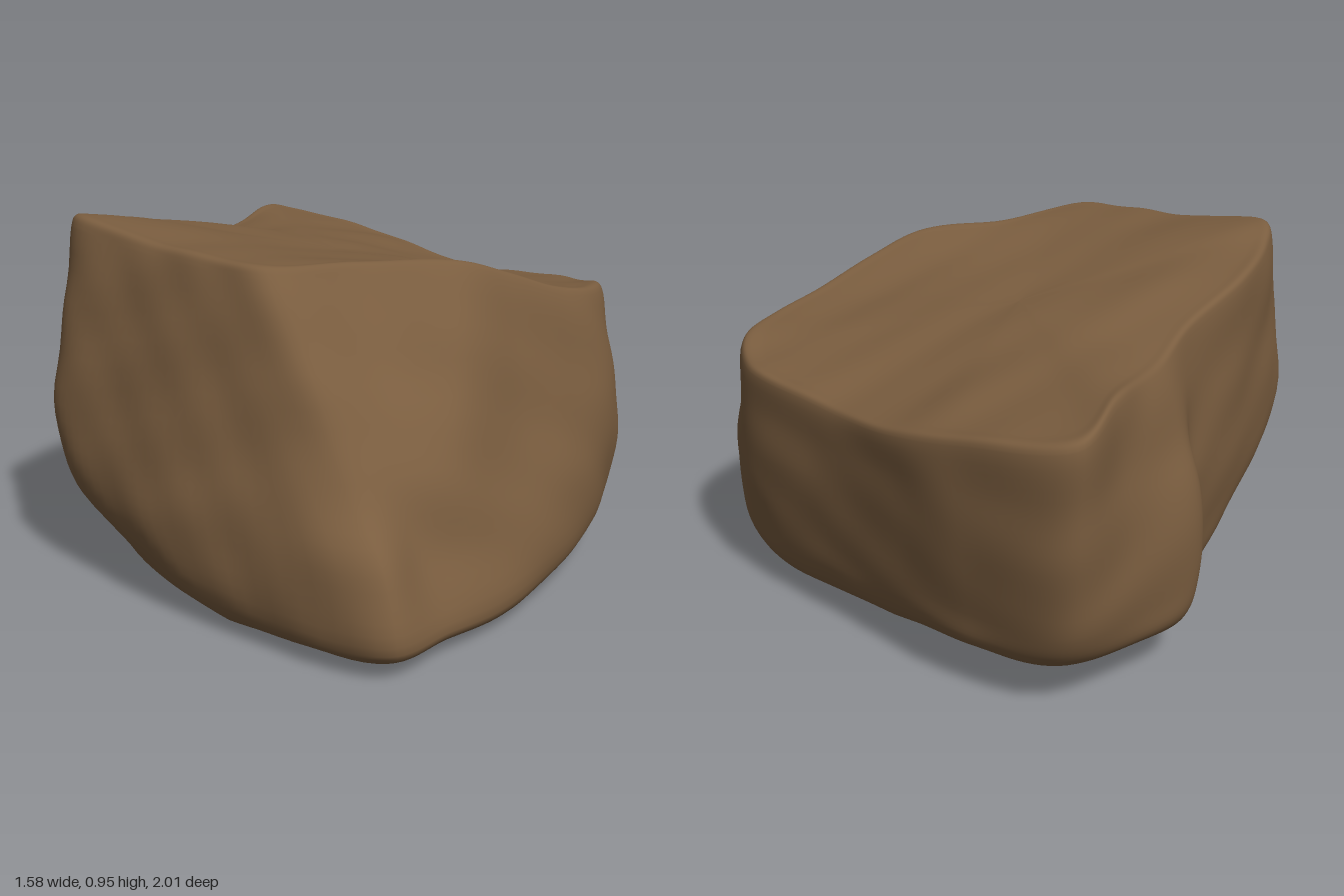
import * as THREE from 'three';

// Outline rings, ordered from the front corner round by the left (+x) side.
// Top rim as x, z, y; the lower rings as x, z.
const TOP = [
  -0.25, 0.6, 0.9, 0, 0.47, 0.88, 0.26, 0.42, 0.87, 0.4, 0.34, 0.82, 0.55, 0.23, 0.755,
  0.67, 0.12, 0.725, 0.74, -0.03, 0.71, 0.72, -0.2, 0.685, 0.52, -0.44, 0.665, 0.36, -0.66, 0.68,
  0.22, -0.82, 0.725, -0.06, -1, 0.775, -0.17, -0.83, 0.81, -0.31, -0.57, 0.79, -0.41, -0.4, 0.83,
  -0.59, -0.2, 0.89, -0.7, 0.01, 0.925, -0.72, 0.13, 0.95, -0.56, 0.32, 0.925, -0.4, 0.48, 0.905,
];
const MID = [
  -0.09, 0.83, 0.06, 0.78, 0.21, 0.71, 0.42, 0.48, 0.58, 0.33, 0.73, 0.17, 0.77, 0.05, 0.75, -0.15,
  0.55, -0.4, 0.34, -0.645, 0.19, -0.82, -0.05, -0.965, -0.22, -0.83, -0.41, -0.65, -0.42, -0.46,
  -0.61, -0.17, -0.74, 0.05, -0.785, 0.2, -0.62, 0.41, -0.36, 0.66,
];
const HIP = [
  -0.02, 0.965, 0.1, 0.84, 0.25, 0.74, 0.46, 0.54, 0.6, 0.37, 0.73, 0.17, 0.78, 0.05, 0.72, -0.15,
  0.53, -0.38, 0.33, -0.62, 0.17, -0.79, -0.05, -0.925, -0.25, -0.8, -0.4, -0.67, -0.41, -0.47,
  -0.6, -0.14, -0.7, 0.06, -0.74, 0.22, -0.6, 0.46, -0.34, 0.72,
];
const LOW = [
  0, 1, 0.16, 0.88, 0.31, 0.76, 0.46, 0.58, 0.6, 0.38, 0.71, 0.16, 0.75, 0.02, 0.68, -0.15,
  0.5, -0.365, 0.32, -0.59, 0.16, -0.77, -0.04, -0.88, -0.25, -0.78, -0.38, -0.67, -0.41, -0.45,
  -0.56, -0.12, -0.62, 0.08, -0.63, 0.25, -0.52, 0.5, -0.3, 0.76,
];

// Underside lifts toward the back and both sides
const baseY = (x, z) =>
  0.012 + 0.105 * THREE.MathUtils.smoothstep(-z, 0.05, 0.75) +
  0.02 * THREE.MathUtils.smoothstep(z, 0.3, 0.95) +
  (x < 0 ? 0.25 : 0.13) * Math.max(0, Math.abs(x) - 0.35);

// The top face is a tilted plane
const topY = (x, z) => 0.815 - 0.16 * x + 0.05 * z;

function ring(data, stride, height) {
  const pts = [];
  for (let i = 0; i < data.length; i += stride) {
    const x = data[i], z = data[i + 1];
    pts.push(new THREE.Vector3(x, stride === 3 ? data[i + 2] : height(x, z), z));
  }
  return new THREE.CatmullRomCurve3(pts, true, 'centripetal');
}

// Soft weathering bumps
const bump = (p) =>
  0.004 * Math.sin(9 * p.x + 5 * p.y + 2) * Math.sin(11 * p.z - 6 * p.y) +
  0.003 * Math.sin(21 * p.z + 11 * p.x) * Math.sin(25 * p.y + 13 * p.x);

function rockGeometry() {
  const columns = 200, rows = 72;
  const low = ring(LOW, 2, (x, z) => baseY(x, z) + 0.045);
  const hip = ring(HIP, 2, () => 0.25);
  const mid = ring(MID, 2, () => 0.43);
  const top = ring(TOP, 3);
  const under = new THREE.Vector3(0, 0.015, 0.05);
  const crown = new THREE.Vector3(0, topY(0, -0.1), -0.1);
  const positions = [], index = [];

  for (let c = 0; c < columns; c++) {
    const t = c / columns;
    const l = low.getPoint(t), m = mid.getPoint(t), r = top.getPoint(t);
    // Point on the underside, or on the top, a fraction of the way in from the edge
    const below = (f) => {
      const p = l.clone().lerp(under, f);
      return p.setY(baseY(p.x, p.z));
    };
    const above = (f, flat) => {
      const p = r.clone().lerp(crown, f);
      return p.setY(THREE.MathUtils.lerp(r.y, topY(p.x, p.z), flat));
    };
    // Profile from the middle of the underside, up the wall, to the middle of the top
    const profile = new THREE.CatmullRomCurve3([
      under, below(0.4), below(0.07), l, hip.getPoint(t), m, m.clone().lerp(r, 0.5),
      r.clone().lerp(m, 0.06), above(0.015, 0.02), above(0.08, 0.12), above(0.35, 0.6),
      above(0.65, 0.9), crown,
    ], false, 'centripetal');
    for (let k = 0; k <= rows; k++) {
      const p = profile.getPoint(k / rows);
      const d = bump(p);
      const out = Math.hypot(p.x, p.z) || 1;
      const wall = k === 0 || k === rows ? 0 : 1;
      positions.push(p.x + wall * d * p.x / out, p.y + d, p.z + wall * d * p.z / out);
    }
  }
  const stride = rows + 1;
  for (let c = 0; c < columns; c++) {
    const n = (c + 1) % columns;
    for (let k = 0; k < rows; k++) {
      const a = c * stride + k, b = n * stride + k;
      if (k > 0) index.push(a, b, b + 1);
      if (k < rows - 1) index.push(a, b + 1, a + 1);
    }
  }
  const geometry = new THREE.BufferGeometry();
  geometry.setAttribute('position', new THREE.Float32BufferAttribute(positions, 3));
  geometry.setIndex(index);
  // Rest on the ground
  geometry.computeBoundingBox();
  geometry.translate(0, -geometry.boundingBox.min.y, 0);
  geometry.computeVertexNormals();
  return geometry;
}

export function createModel() {
  const group = new THREE.Group();
  group.name = 'rock';
  const brownStone = new THREE.MeshStandardMaterial({ color: 0x7a5d3f });
  brownStone.name = 'brownStone';
  const boulder = new THREE.Mesh(rockGeometry(), brownStone);
  boulder.name = 'boulder';
  group.add(boulder);
  return group;
}
